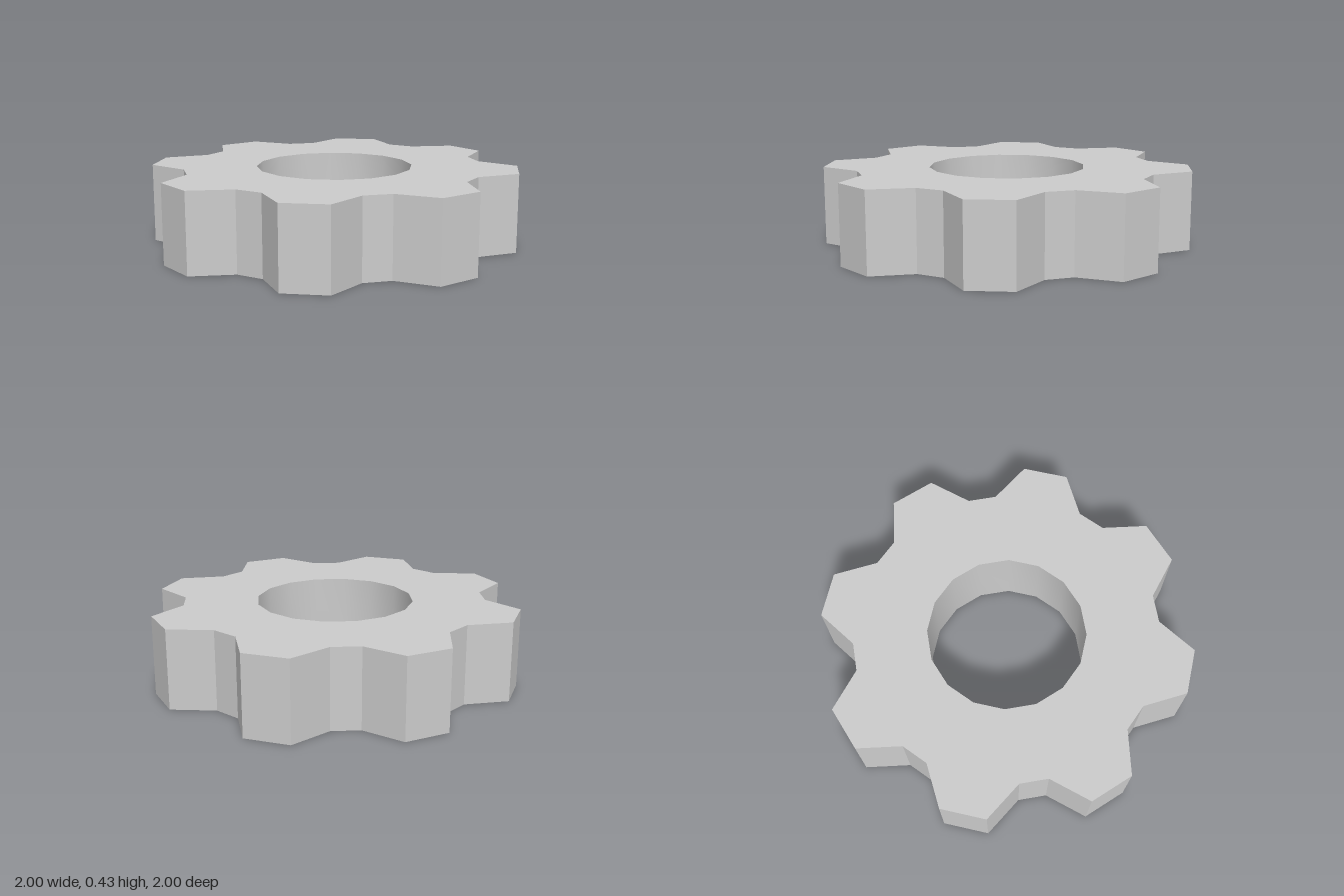
import * as THREE from 'three';
import { toCreasedNormals } from 'three/addons/utils/BufferGeometryUtils.js';

const TEETH = 8;
const HEIGHT = 0.43;
const BORE_RADIUS = 0.428;
const BORE_SIDES = 16;

// Half-width and distance from the axis for the corners of one tooth
const TOOTH = [[-0.243, 0.787], [-0.123, 1], [0.123, 1], [0.243, 0.787]];

export function createModel() {
  // Toothed outline: one tooth repeated around the axis
  const points = [];
  const axis = new THREE.Vector2();
  for (let i = 0; i < TEETH; i++) {
    const angle = -i * 2 * Math.PI / TEETH;
    for (const [x, y] of TOOTH) points.push(new THREE.Vector2(x, y).rotateAround(axis, angle));
  }
  const outline = new THREE.Shape(points);

  // Central bore, with flats facing the axes
  const bore = [];
  for (let i = 0; i < BORE_SIDES; i++) {
    const a = (i + 0.5) * 2 * Math.PI / BORE_SIDES;
    bore.push(new THREE.Vector2(Math.cos(a) * BORE_RADIUS, Math.sin(a) * BORE_RADIUS));
  }
  outline.holes.push(new THREE.Path(bore));

  // Smooth inside the bore, sharp on the teeth and rims
  const solid = new THREE.ExtrudeGeometry(outline, { depth: HEIGHT, bevelEnabled: false });
  solid.rotateX(-Math.PI / 2);
  const gear = new THREE.Mesh(
    toCreasedNormals(solid, THREE.MathUtils.degToRad(30)),
    new THREE.MeshStandardMaterial({ color: 0xcccccc })
  );
  gear.name = 'gearWheel';

  const model = new THREE.Group();
  model.name = 'gear';
  model.add(gear);
  return model;
}
